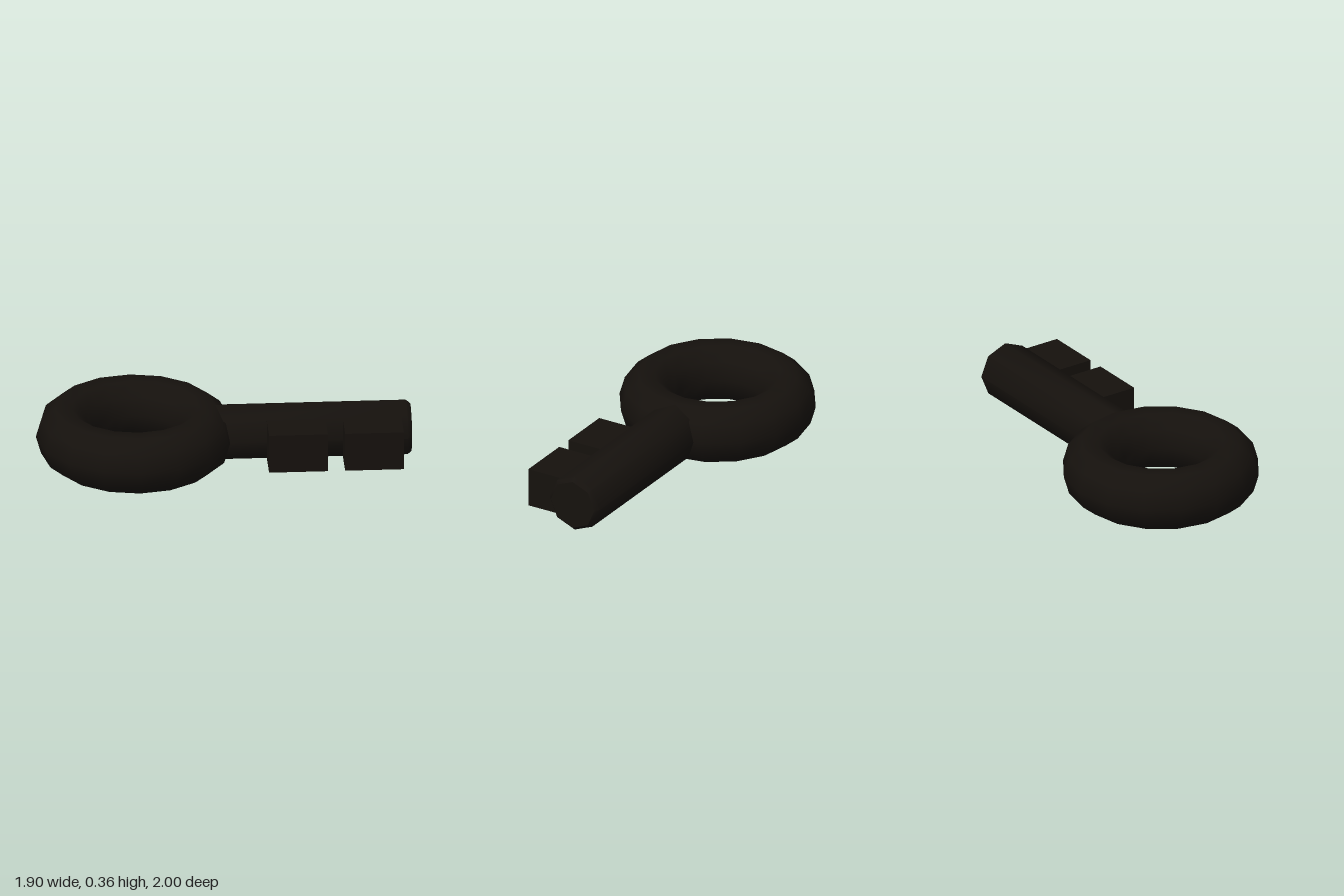
import * as THREE from 'three';
import { toCreasedNormals } from 'three/addons/utils/BufferGeometryUtils.js';

export function createModel() {
  const model = new THREE.Group();
  model.name = 'key';
  const material = new THREE.MeshStandardMaterial({ color: 0x15110d });

  // The key lies flat; its length runs along local +x from the ring centre.
  const key = new THREE.Group();
  key.name = 'keyBody';
  key.position.set(-0.35, 0.18, -0.395);
  key.rotation.y = -Math.PI / 4;
  model.add(key);

  const add = (name, geometry) => {
    const mesh = new THREE.Mesh(geometry, material);
    mesh.name = name;
    key.add(mesh);
    return mesh;
  };

  // Ring handle, slightly taller than wide in section
  const ring = new THREE.TorusGeometry(0.4365, 0.168, 10, 16);
  ring.scale(1, 1, 1.125);
  ring.rotateX(Math.PI / 2);
  add('ringHandle', ring);

  // Eight-sided shaft with a small bevel at the tip
  const profile = [
    [0, 0.44], [0.178, 0.44], [0.178, 1.655], [0.155, 1.68], [0, 1.68],
  ].map(([r, y]) => new THREE.Vector2(r, y));
  const shaft = new THREE.LatheGeometry(profile, 8);
  shaft.rotateZ(-Math.PI / 2);
  add('shaft', toCreasedNormals(shaft, 0.82));

  // Two square teeth on one side of the shaft
  [0.974, 1.4375].forEach((x, i) => {
    const tooth = add('tooth' + (i + 1), new THREE.BoxGeometry(0.358, 0.245, 0.255));
    tooth.position.set(x, 0, 0.2285);
  });

  return model;
}
